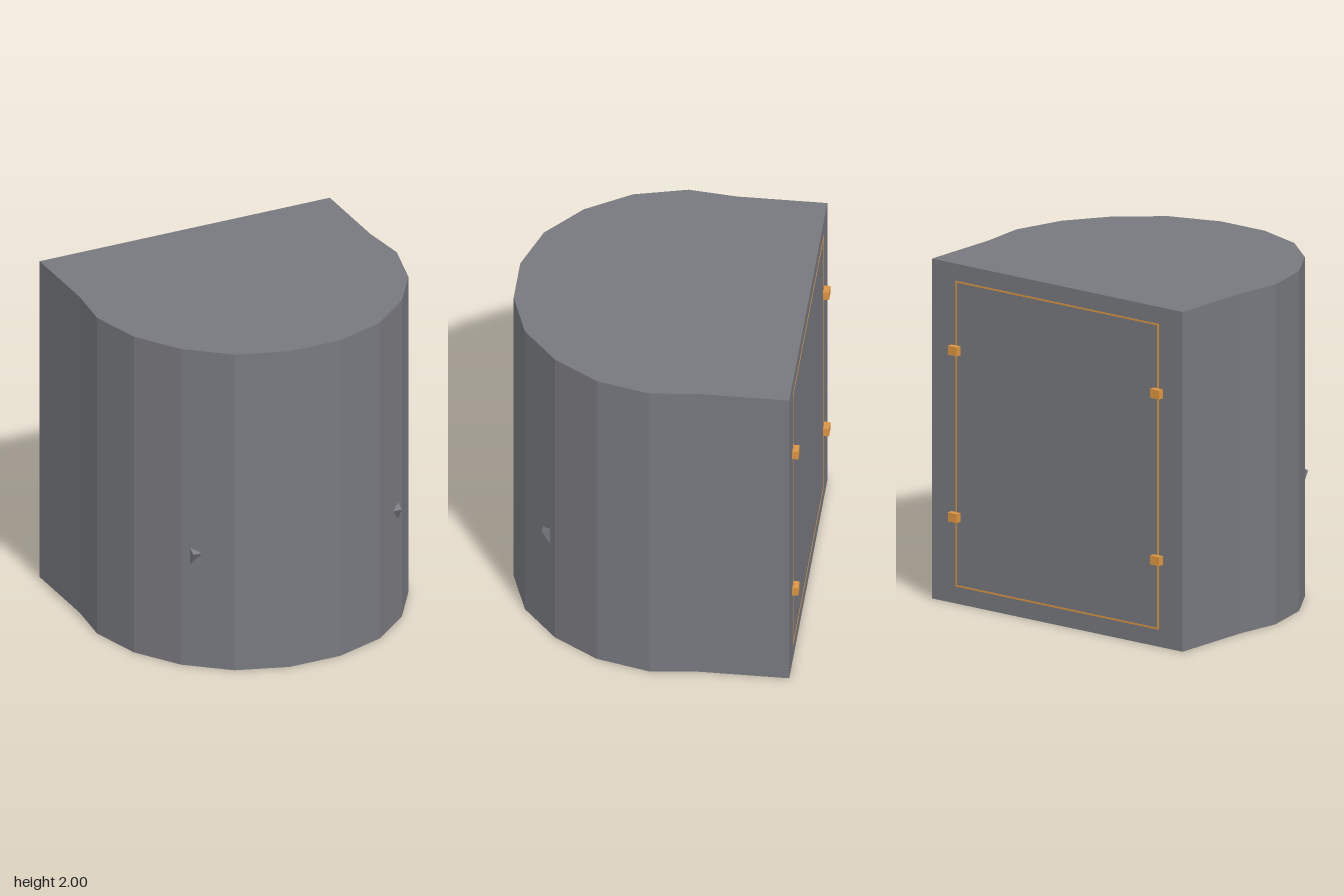
import * as THREE from 'three';

const grey = new THREE.MeshStandardMaterial({ color: 0x78797f });
const orange = new THREE.MeshStandardMaterial({ color: 0xdd9540 });

const BACK = -0.817; // z of the flat back wall

export function createModel() {
  const model = new THREE.Group();

  function add(name, geometry, material, x = 0, y = 0, z = 0) {
    const mesh = new THREE.Mesh(geometry, material);
    mesh.name = name;
    mesh.position.set(x, y, z);
    model.add(mesh);
    return mesh;
  }

  // Body: D-shaped faceted outline (x, z), mirrored and raised to full height
  const half = [
    [0.92, BACK], [0.92, -0.3], [0.95, -0.02], [0.87, 0.29],
    [0.7, 0.55], [0.46, 0.75], [0.16, 0.85],
  ];
  const outline = [...half, ...half.map(([x, z]) => [-x, z]).reverse()];
  const shape = new THREE.Shape(outline.map(([x, z]) => new THREE.Vector2(x, -z)));
  const body = new THREE.ExtrudeGeometry(shape, { depth: 2, bevelEnabled: false });
  body.rotateX(-Math.PI / 2);
  add('body', body, grey);

  // Hatch seam: thin rectangular frame lying on the back wall
  const hx = 0.74, bottom = 0.105, top = 1.895, seam = 0.01, depth = 0.004;
  for (const y of [bottom, top]) {
    add('hatchSeam', new THREE.BoxGeometry(2 * hx + seam, seam, depth), orange, 0, y, BACK);
  }
  for (const side of [-1, 1]) {
    add('hatchSeam', new THREE.BoxGeometry(seam, top - bottom - seam, depth), orange,
      side * hx, (top + bottom) / 2, BACK);

    // Hinges and latches on both sides of the hatch
    for (const y of [0.512, 1.493]) {
      add('hinge', new THREE.BoxGeometry(0.065, 0.053, 0.06), orange, side * 0.742, y, BACK - 0.005);
    }

    // Tilted peg whose outer corner pokes through the curved front
    const peg = new THREE.BoxGeometry(0.2, 0.12, 0.12);
    peg.translate(0, -0.06, -0.06); // pivot on the front top edge
    add('peg', peg, grey, side * 0.56, 0.72, 0.629).rotation.x = Math.PI / 6;
  }

  return model;
}
